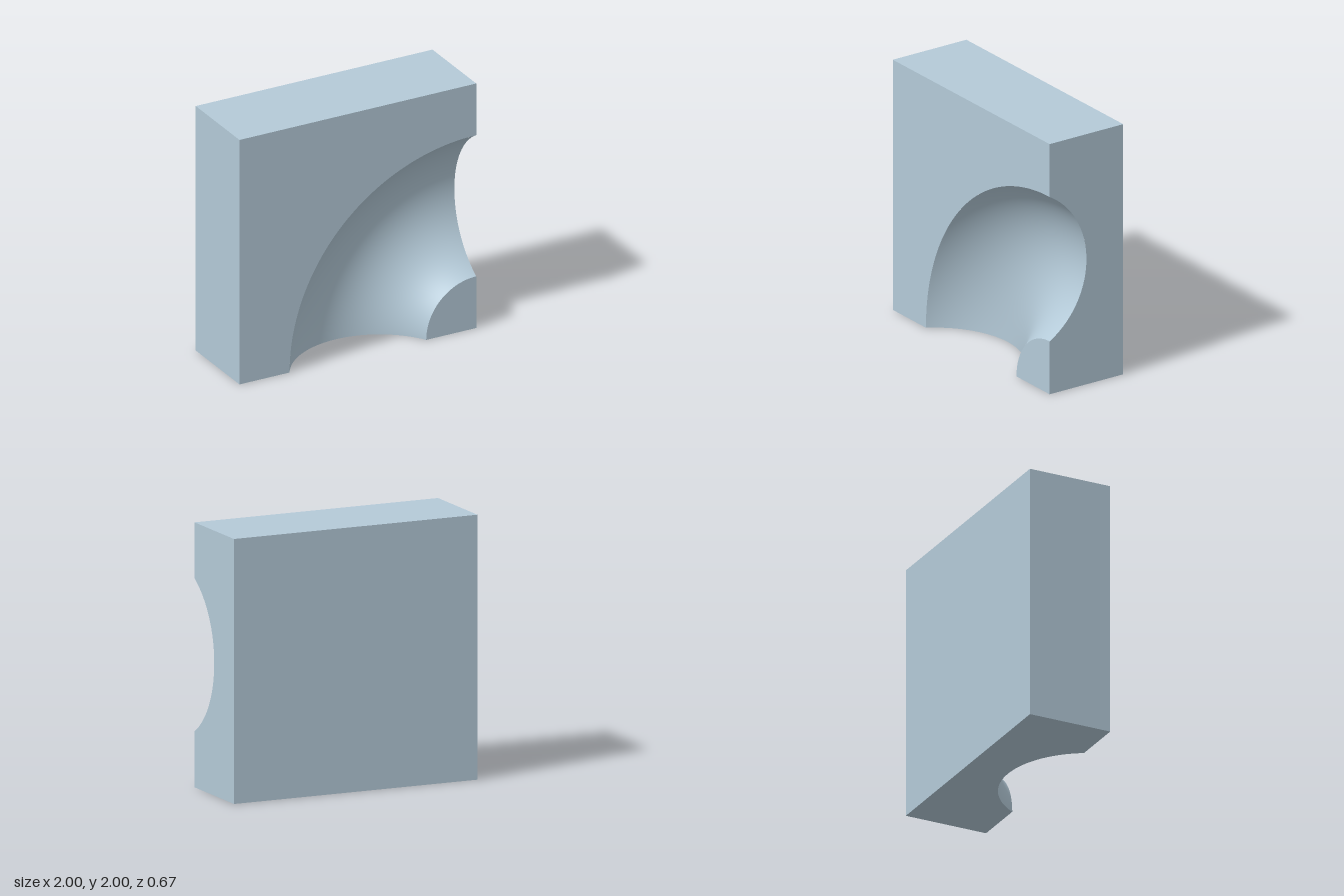
import * as THREE from 'three';

const T = 1 / 3;                        // half thickness of the block
const R = 2 / 3;                        // radius of the groove's round section
const H = R * Math.cos(Math.PI / 6);    // half width of the groove at the front
const SEG = 64;

export function createModel() {
  const group = new THREE.Group();
  const material = new THREE.MeshStandardMaterial({ color: 0xb4cad8 });
  const add = (name, geometry) => {
    const mesh = new THREE.Mesh(geometry, material);
    mesh.name = name;
    group.add(mesh);
  };

  // Plain outer walls
  add('backWall', new THREE.PlaneGeometry(2, 2).rotateY(Math.PI).translate(0, 1, -T));
  add('topWall', new THREE.PlaneGeometry(2, 2 * T).rotateX(-Math.PI / 2).translate(0, 2, 0));
  add('rightWall', new THREE.PlaneGeometry(2 * T, 2).rotateY(-Math.PI / 2).translate(-1, 1, 0));

  // Front face outside the groove, and the quarter disc left inside it
  const outer = new THREE.Shape();
  outer.moveTo(-1, 0).lineTo(-H, 0);
  outer.absarc(1, 0, 1 + H, Math.PI, Math.PI / 2, true);
  outer.lineTo(1, 2).lineTo(-1, 2);
  add('frontFace', new THREE.ShapeGeometry(outer, SEG).translate(0, 0, T));

  const inner = new THREE.Shape();
  inner.moveTo(1, 0).lineTo(1, 1 - H);
  inner.absarc(1, 0, 1 - H, Math.PI / 2, Math.PI, false);
  add('frontCorner', new THREE.ShapeGeometry(inner, SEG).translate(0, 0, T));

  // Walls where the groove runs out: x = distance from the groove's axis, y = depth
  const section = new THREE.Shape();
  section.moveTo(0, -T).lineTo(2, -T).lineTo(2, T).lineTo(1 + H, T);
  section.absarc(1, R, R, -Math.PI / 6, -Math.PI * 5 / 6, true);
  section.lineTo(0, T);
  const mirrored = new THREE.Shape(
    section.getPoints(SEG).map((p) => new THREE.Vector2(-p.x, p.y)));

  const toSide = new THREE.Matrix4().makeBasis(
    new THREE.Vector3(0, 1, 0), new THREE.Vector3(0, 0, 1), new THREE.Vector3(1, 0, 0));
  add('leftWall', new THREE.ShapeGeometry(section, SEG).applyMatrix4(toSide).translate(1, 0, 0));
  add('bottomWall', new THREE.ShapeGeometry(mirrored).rotateX(Math.PI / 2).translate(1, 0, 0));

  // Quarter-turn groove, swept about the bottom left corner
  const profile = [];
  for (let i = 0; i <= SEG; i++) {
    const a = -Math.PI / 6 - (i / SEG) * Math.PI * 2 / 3;
    profile.push(new THREE.Vector2(1 + R * Math.cos(a), R + R * Math.sin(a)));
  }
  add('groove', new THREE.LatheGeometry(profile, SEG, Math.PI, Math.PI / 2)
    .rotateX(Math.PI / 2).translate(1, 0, 0));

  return group;
}
